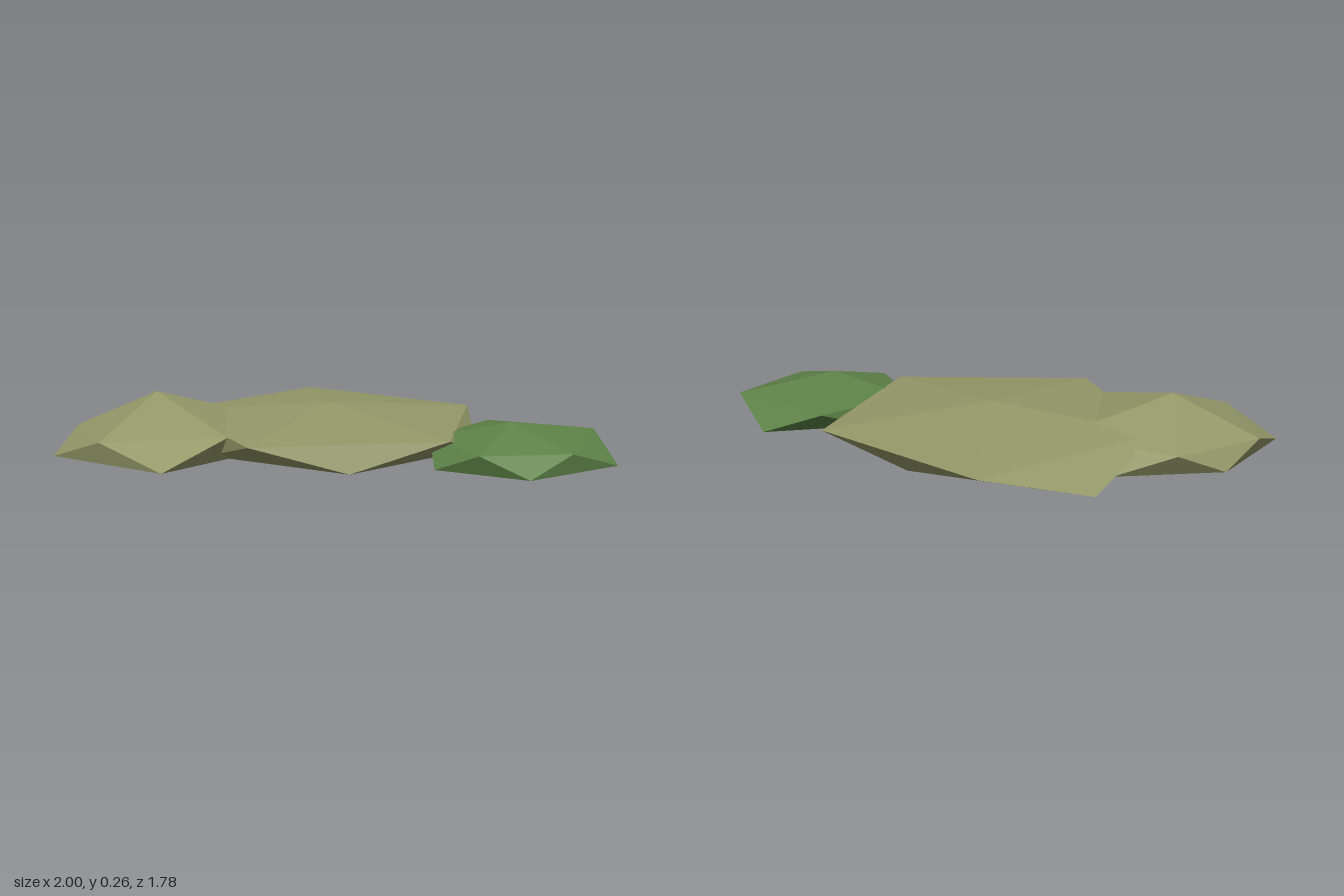
import * as THREE from 'three';

// Low, faceted rock: apex, upper ring of five, lower ring of five, base point.
// Both rings run from +x towards +z; lower[i] sits between upper[i] and upper[i + 1].
function makeRock(name, material, apex, upper, lower, base) {
  const points = [];
  const tri = (...corners) => corners.forEach((p) => points.push(...p));
  for (let i = 0; i < 5; i++) {
    const j = (i + 1) % 5;
    tri(apex, upper[j], upper[i]); // top
    tri(upper[i], upper[j], lower[i]); // side, leaning in
    tri(lower[i], upper[j], lower[j]); // side, leaning out
    tri(base, lower[i], lower[j]); // underside
  }
  const geometry = new THREE.BufferGeometry();
  geometry.setAttribute('position', new THREE.Float32BufferAttribute(points, 3));
  geometry.computeVertexNormals(); // unshared corners give flat facets
  const mesh = new THREE.Mesh(geometry, material);
  mesh.name = name;
  return mesh;
}

export function createModel() {
  const olive = new THREE.MeshStandardMaterial({ name: 'olive stone', color: 0x949868 });
  const green = new THREE.MeshStandardMaterial({ name: 'mossy green', color: 0x5d8247 });
  const group = new THREE.Group();
  group.name = 'rockCluster';

  group.add(
    // Broad middle rock
    makeRock('largeRock', olive, [-0.17, 0.2, -0.16],
      [[0.55, 0.13, -0.17], [0.06, 0.13, 0.52], [-0.75, 0.14, 0.27], [-0.79, 0.13, -0.62], [0.06, 0.13, -0.83]],
      [[0.33, 0.012, 0.2], [-0.35, 0.012, 0.4], [-0.93, 0.012, -0.17], [-0.27, 0.012, -0.62], [0.36, 0.012, -0.56]],
      [-0.17, 0, -0.16]),
    // Taller rock at the front
    makeRock('frontRock', olive, [-0.66, 0.26, 0.43],
      [[-0.15, 0.13, 0.45], [-0.52, 0.11, 0.85], [-0.95, 0.1, 0.65], [-0.96, 0.11, 0.21], [-0.51, 0.12, -0.03]],
      [[-0.21, 0.014, 0.76], [-0.8, 0.014, 0.89], [-1, 0.014, 0.43], [-0.79, 0.014, 0.02], [-0.25, 0.014, 0.14]],
      [-0.66, 0.005, 0.43]),
    // Mossy rock at the back
    makeRock('mossyRock', green, [0.63, 0.185, -0.46],
      [[0.97, 0.1, -0.46], [0.73, 0.1, -0.15], [0.35, 0.11, -0.26], [0.29, 0.11, -0.71], [0.76, 0.12, -0.87]],
      [[0.92, 0.014, -0.25], [0.52, 0.014, -0.11], [0.31, 0.014, -0.46], [0.49, 0.014, -0.89], [1, 0.014, -0.73]],
      [0.63, 0.006, -0.46]),
  );
  return group;
}
